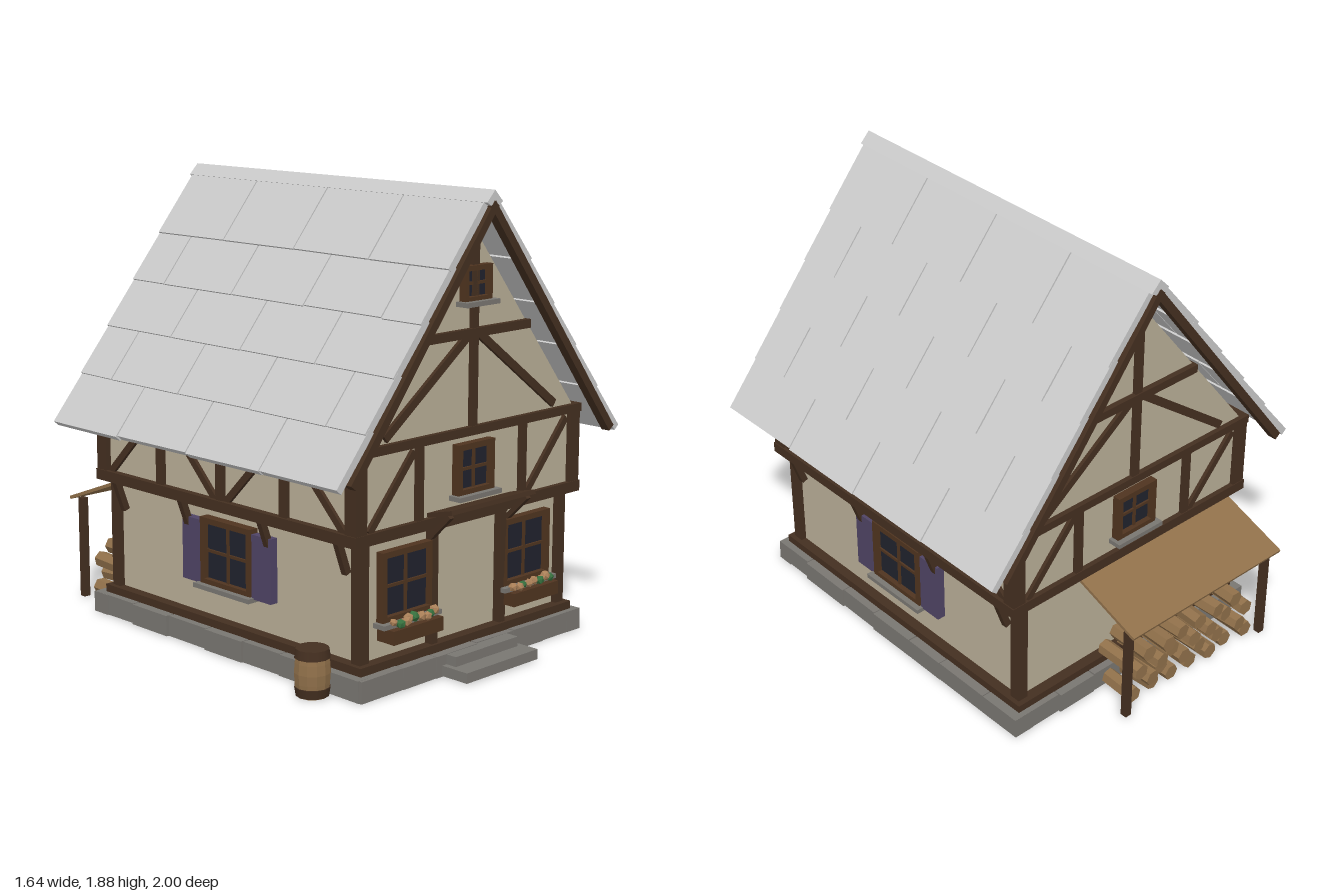
import * as THREE from 'three';

const mat = (name, color) => Object.assign(new THREE.MeshStandardMaterial({ color }), { name });
const M = {
  plaster: mat('plaster', 0xb9ae97), timber: mat('timber', 0x442f20), trim: mat('trim', 0x4f341f),
  roof: mat('roof slate', 0xcacaca), stone: mat('stone', 0x797671), glass: mat('glass', 0x20222d),
  shutter: mat('shutter', 0x4f4465), plank: mat('plank', 0x90704a), leaf: mat('leaf', 0x36703e),
  flower: mat('flower', 0xaa8058),
};

let seed = 7;
const rnd = (a) => { seed = (seed * 16807) % 2147483647; return (seed / 2147483647 * 2 - 1) * a; };

function add(parent, name, geo, m, x = 0, y = 0, z = 0) {
  const mesh = new THREE.Mesh(geo, m);
  mesh.name = name;
  mesh.position.set(x, y, z);
  parent.add(mesh);
  return mesh;
}
// Box given by its minimum and maximum on each axis
function box(parent, name, m, x0, x1, y0, y1, z0, z1) {
  return add(parent, name, new THREE.BoxGeometry(x1 - x0, y1 - y0, z1 - z0), m,
    (x0 + x1) / 2, (y0 + y1) / 2, (z0 + z1) / 2);
}
// Slanted bar between two points; width lies in its vertical plane, depth is horizontal
function strut(parent, name, m, a, b, width, depth) {
  const p = new THREE.Vector3(...a), q = new THREE.Vector3(...b);
  const mesh = new THREE.Mesh(new THREE.BoxGeometry(depth, width, p.distanceTo(q)), m);
  mesh.name = name;
  mesh.position.copy(p).add(q).multiplyScalar(0.5);
  mesh.lookAt(q);
  parent.add(mesh);
}
function group(parent, name, x = 0, y = 0, z = 0, ry = 0) {
  const g = new THREE.Group();
  g.name = name;
  g.position.set(x, y, z);
  g.rotation.y = ry;
  parent.add(g);
  return g;
}
// Faceted copy of a geometry
function faceted(geo) {
  const flat = geo.toNonIndexed();
  flat.computeVertexNormals();
  return flat;
}
// Rectangular ring of beams around the house
function beamRing(parent, name, hx, hz, y0, y1, t = 0.06) {
  for (const s of [-1, 1]) {
    box(parent, name, M.timber, -hx, hx, y0, y1, s * (hz - t / 2) - t / 2, s * (hz - t / 2) + t / 2);
    box(parent, name, M.timber, s * (hx - t / 2) - t / 2, s * (hx - t / 2) + t / 2, y0, y1, t - hz, hz - t);
  }
}
function cornerPosts(parent, hx, hz, y0, y1, t) {
  for (const sx of [-1, 1]) for (const sz of [-1, 1])
    add(parent, 'cornerPost', new THREE.BoxGeometry(t, y1 - y0, t), M.timber,
      sx * (hx - t / 2), (y0 + y1) / 2, sz * (hz - t / 2));
}
// Framed four-pane window with a stone sill, on a wall at depth z facing +z
function windowUnit(parent, cx, y0, w, h, z, t = 0.024) {
  const g = group(parent, 'window', cx, y0, z), r = w / 2;
  box(g, 'pane', M.glass, -r + t, r - t, t, h - t, -0.01, 0.012);
  for (const s of [-1, 1]) box(g, 'frameSide', M.trim, s * (r - t / 2) - t / 2, s * (r - t / 2) + t / 2, 0, h, -0.01, 0.035);
  for (const y of [0, h - t]) box(g, 'frameRail', M.trim, -r + t, r - t, y, y + t, -0.01, 0.035);
  box(g, 'mullion', M.trim, -0.006, 0.006, t, h - t, 0, 0.02);
  box(g, 'glazingBar', M.trim, -r + t, r - t, h / 2 - 0.006, h / 2 + 0.006, 0, 0.02);
  box(g, 'sill', M.stone, -r - 0.017, r + 0.017, -0.015, 0.004, -0.01, 0.06);
}

// Upper storey and gable framing shared by front and back
function gableEnd(parent, hasAttic) {
  const z = 0.755;
  for (const s of [-1, 1]) {
    box(parent, 'stud', M.timber, s * 0.3 - 0.018, s * 0.3 + 0.018, 0.64, 0.93, z - 0.01, z + 0.018);
    strut(parent, 'gableBrace', M.timber, [s * 0.49, 0.985, z], [s * 0.03, 1.325, z], 0.034, 0.03);
  }
  strut(parent, 'brace', M.timber, [-0.57, 0.64, z], [-0.33, 0.915, z], 0.03, 0.03);
  strut(parent, 'brace', M.timber, [0.325, 0.64, z], [0.57, 0.915, z], 0.03, 0.03);
  box(parent, 'kingPost', M.timber, -0.018, 0.018, 0.965, 1.68, z - 0.02, z + 0.018);
  box(parent, 'collarBeam', M.timber, -0.32, 0.32, 1.315, 1.35, z - 0.02, z + 0.024);
  windowUnit(parent, 0, 0.7, 0.21, 0.205, z);
  if (hasAttic) windowUnit(parent, 0, 1.455, 0.155, 0.14, z - 0.002, 0.02);
}

function frontDetails(parent) {
  const z = 0.725;
  for (const s of [-1, 1]) {
    box(parent, 'doorPost', M.timber, s * 0.2 - 0.017, s * 0.2 + 0.017, 0.12, 0.6, z - 0.01, z + 0.035);
    windowUnit(parent, s * 0.347, 0.265, 0.285, 0.28, z);
    // Flower box and blossoms
    box(parent, 'flowerBox', M.trim, s * 0.347 - 0.138, s * 0.347 + 0.138, 0.195, 0.25, z, z + 0.09);
    for (let i = 0; i < 9; i++)
      add(parent, 'blossom', new THREE.IcosahedronGeometry(0.02 + rnd(0.004), 0), (i + (s > 0 ? 1 : 2)) % 3 ? M.flower : M.leaf,
        s * 0.347 - 0.115 + i * 0.029, 0.27 + rnd(0.008), z + 0.07 + rnd(0.012)).rotation.set(rnd(2), rnd(2), 0);
    strut(parent, 'canopyBrace', M.timber, [s * 0.225, 0.56, z + 0.035], [s * 0.225, 0.66, z + 0.135], 0.02, 0.024);
  }
  box(parent, 'doorLintel', M.timber, -0.217, 0.217, 0.585, 0.605, z - 0.01, z + 0.04);
  strut(parent, 'doorCanopy', M.timber, [0, 0.648, 0.755], [0, 0.68, 0.883], 0.018, 0.49);
  box(parent, 'lowerStep', M.stone, -0.21, 0.21, 0.008, 0.05, 0.75, 0.94);
  box(parent, 'upperStep', M.stone, -0.185, 0.182, 0.05, 0.09, 0.75, 0.86);
}

// Long wall: studs, zigzag braces, brackets, shuttered window
function longSide(parent) {
  const z = 0.625;
  for (const u of [-0.37, 0, 0.37]) box(parent, 'stud', M.timber, u - 0.02, u + 0.02, 0.64, 0.93, z - 0.01, z + 0.02);
  for (const [u0, u1] of [[-0.7, -0.4], [-0.03, -0.33], [0.03, 0.33], [0.7, 0.4]])
    strut(parent, 'brace', M.timber, [u0, 0.635, z], [u1, 0.935, z], 0.03, 0.03);
  for (const u of [-0.665, -0.24, 0.24, 0.665])
    strut(parent, 'bracket', M.timber, [u, 0.47, 0.59], [u, 0.6, 0.637], 0.028, 0.026);
  windowUnit(parent, 0, 0.262, 0.3, 0.28, 0.582);
  for (const s of [-1, 1]) {
    const c = s * 0.21;
    box(parent, 'shutter', M.shutter, c - 0.055, c + 0.055, 0.26, 0.525, 0.57, 0.612);
  }
}

// One roof pitch rising along local x from the eave on the -x side
function roofPitch(parent, ry) {
  const side = group(parent, 'roofPitch', 0, 0, 0, ry);
  const g = group(side, 'tiles', -0.78, 0.84, 0);
  g.rotation.z = Math.atan2(1.002, 0.78);
  const L = 1.27, step = 0.236, H = 0.845;
  for (let row = 0; row < 5; row++) {
    const cuts = row % 2 ? [-H, -0.6375, -0.2125, 0.2125, 0.6375, H] : [-H, -0.425, 0, 0.425, H];
    const s0 = row * step - 0.009, len = row === 4 ? L - 0.01 - s0 : 0.265;
    for (let i = 0; i + 1 < cuts.length; i++) {
      const a = cuts[i] + (i ? 0.003 : 0), b = cuts[i + 1] - 0.003, start = s0 + rnd(0.004);
      const tile = box(g, 'roofTile', M.roof, start, s0 + len, 0.006, 0.037, a, b);
      tile.rotation.z = -0.032;
      tile.rotation.y = rnd(0.006);
    }
  }
  for (const s of [-1, 1])
    box(g, 'bargeBoard', M.timber, 0.034, L, -0.03, 0.004, s * 0.842 - 0.02, s * 0.842 + 0.02);
}

// Row of uneven foundation blocks along x, outer face at depth z
function stoneRow(parent, half, depth, n) {
  const cuts = Array.from({ length: n + 1 }, (_, i) => -half + 2 * half * i / n + (i && i < n ? rnd(0.035) : 0));
  for (let i = 0; i < n; i++) {
    const block = box(parent, 'foundationStone', M.stone, cuts[i], cuts[i + 1], 0.005, 0.092, depth - 0.085, depth + rnd(0.008));
    const p = block.geometry.attributes.position;
    for (let k = 0; k < p.count; k++) if (p.getY(k) > 0) p.setX(k, p.getX(k) * 0.975);
    block.rotation.z = rnd(0.012);
  }
}

function barrel(parent) {
  const g = group(parent, 'barrel', -0.715, 0, 0.67);
  const prof = [[0, 0.006], [0.062, 0.006], [0.069, 0.06], [0.072, 0.1], [0.069, 0.14], [0.062, 0.19], [0, 0.19]];
  add(g, 'staves', faceted(new THREE.LatheGeometry(prof.map(([x, y]) => new THREE.Vector2(x, y)), 12)), M.plank);
  for (const [y, r0, r1] of [[0.026, 0.065, 0.071], [0.176, 0.071, 0.065]])
    add(g, 'hoop', new THREE.CylinderGeometry(r1, r0, 0.036, 12), M.timber, 0, y, 0);
}

function leanTo(parent) {
  const g = group(parent, 'woodShelter');
  strut(g, 'shelterRoof', M.plank, [-0.16, 0.565, -0.69], [-0.16, 0.45, -0.995], 0.014, 0.86);
  for (const x of [-0.56, 0.24]) box(g, 'shelterPost', M.timber, x - 0.015, x + 0.015, 0.01, 0.455, -0.955, -0.925);
  // Stacked firewood
  for (let row = 0; row < 4; row++) {
    const n = row % 2 ? 6 : 7;
    for (let i = 0; i < n; i++) {
      const log = add(g, 'log', faceted(new THREE.CylinderGeometry(0.036, 0.036, 0.22 + rnd(0.015), 6)), M.plank,
        -0.17 + (i - (n - 1) / 2) * 0.105 + rnd(0.012), 0.042 + row * 0.061, -0.805 + rnd(0.016));
      log.rotation.set(Math.PI / 2, rnd(0.6), rnd(0.08));
    }
  }
}

export function createModel() {
  const root = new THREE.Group();
  root.name = 'cottage';
  const house = group(root, 'house', 0, 0, 0.06);

  // Walls and gable prism
  box(house, 'lowerWalls', M.plaster, -0.575, 0.575, 0.05, 0.62, -0.725, 0.725);
  box(house, 'upperWalls', M.plaster, -0.625, 0.625, 0.61, 0.962, -0.755, 0.755);
  const tri = new THREE.Shape([[-0.625, 0.955], [0.625, 0.955], [0, 1.74]].map(([x, y]) => new THREE.Vector2(x, y)));
  add(house, 'gable', new THREE.ExtrudeGeometry(tri, { depth: 1.51, bevelEnabled: false }), M.plaster, 0, 0, -0.755);
  box(house, 'floor', M.plaster, -0.6, 0.6, 0.02, 0.085, -0.74, 0.74);

  // Timber frame
  beamRing(house, 'sillBeam', 0.62, 0.772, 0.09, 0.125);
  beamRing(house, 'floorBeam', 0.655, 0.777, 0.595, 0.64);
  beamRing(house, 'eaveBeam', 0.655, 0.777, 0.93, 0.965);
  cornerPosts(house, 0.6, 0.748, 0.12, 0.6, 0.048);
  cornerPosts(house, 0.65, 0.774, 0.635, 0.935, 0.06);
  const front = group(house, 'frontWall');
  gableEnd(front, true);
  frontDetails(front);
  gableEnd(group(house, 'backWall', 0, 0, 0, Math.PI), false);
  for (const s of [-1, 1]) longSide(group(house, 'sideWall', 0, 0, 0, s * Math.PI / 2));

  // Foundation
  for (const s of [0, 1]) {
    stoneRow(group(house, 'foundation', 0, 0, 0, s * Math.PI), 0.655, 0.805, 6);
    stoneRow(group(house, 'foundation', 0, 0, 0, (s + 0.5) * Math.PI), 0.8, 0.655, 7);
  }

  // Roof with chevron ridge cap
  for (const ry of [0, Math.PI]) roofPitch(house, ry);
  const cap = new THREE.Shape([[-0.045, 1.84], [0, 1.815], [0.045, 1.84], [0, 1.886]].map(([x, y]) => new THREE.Vector2(x, y)));
  add(house, 'ridgeCap', new THREE.ExtrudeGeometry(cap, { depth: 1.72, bevelEnabled: false }), M.roof, 0, 0, -0.86);

  barrel(root);
  leanTo(root);
  return root;
}
